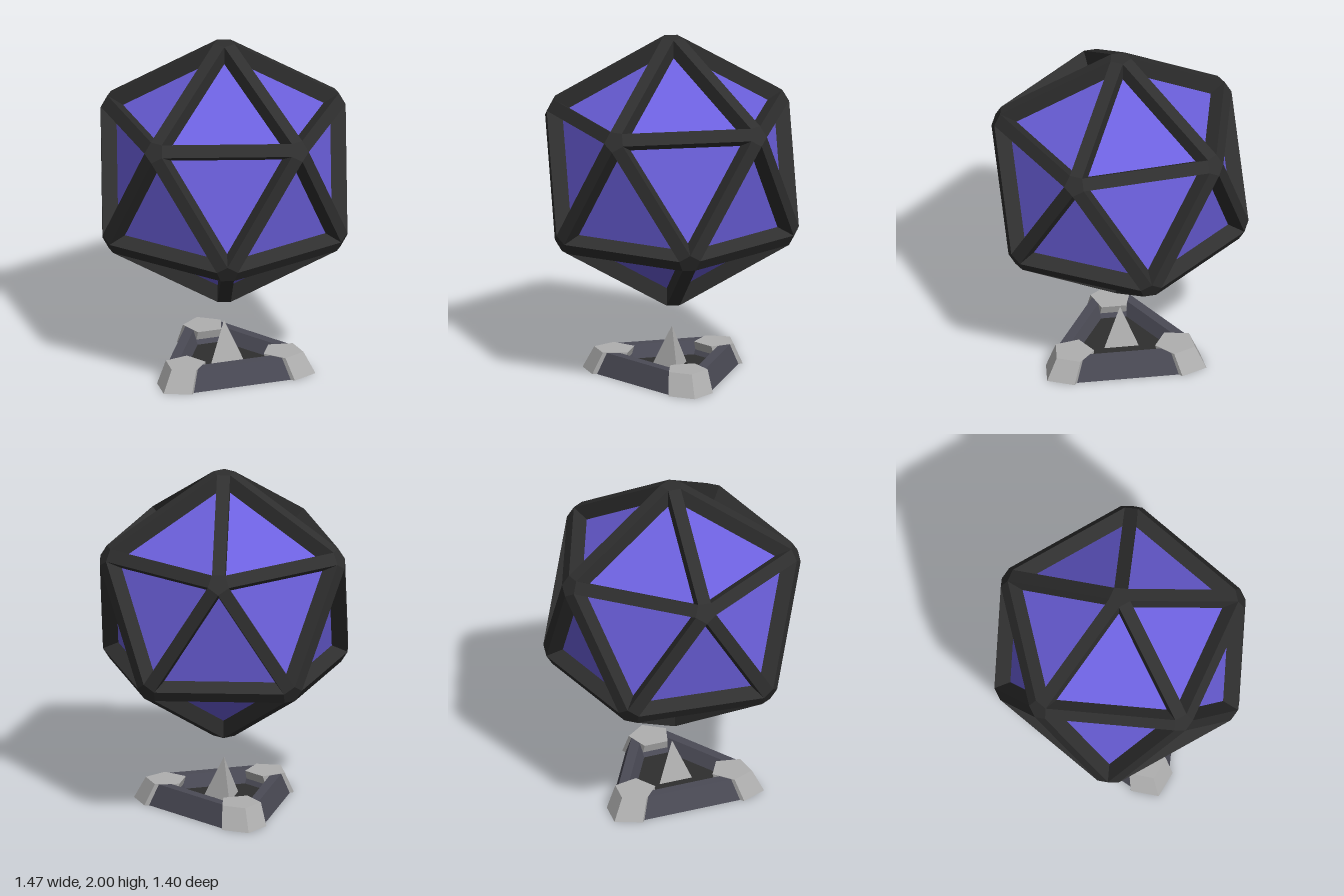
import * as THREE from 'three';
import { ConvexGeometry } from 'three/addons/geometries/ConvexGeometry.js';

const mat = (name, color) => {
  const m = new THREE.MeshStandardMaterial({ color });
  m.name = name;
  return m;
};

// Split all faces so that every edge is hard
function faceted(geometry) {
  const g = geometry.index ? geometry.toNonIndexed() : geometry;
  g.computeVertexNormals();
  return g;
}

// Join rings of equal length with quads, listed from the outside bottom upward
function loft(rings) {
  const pos = [];
  const n = rings[0].length;
  for (let r = 0; r + 1 < rings.length; r++) {
    for (let i = 0; i < n; i++) {
      const a = rings[r][i], b = rings[r][(i + 1) % n];
      const c = rings[r + 1][(i + 1) % n], d = rings[r + 1][i];
      for (const p of [a, b, c, a, c, d]) pos.push(p.x, p.y, p.z);
    }
  }
  const g = new THREE.BufferGeometry();
  g.setAttribute('position', new THREE.Float32BufferAttribute(pos, 3));
  g.computeVertexNormals();
  return g;
}

export function createModel() {
  const model = new THREE.Group();
  const charcoal = mat('charcoal frame', 0x2f2f2f);
  const violet = mat('violet panel', 0x6c60dd);
  const slate = mat('slate base', 0x4b4b56);
  const grey = mat('light grey', 0xb0b0b0);

  const add = (parent, name, geometry, material) => {
    const mesh = new THREE.Mesh(geometry, material);
    mesh.name = name;
    parent.add(mesh);
    return mesh;
  };

  // ---- Floating twenty-sided body ----
  const body = new THREE.Group();
  body.name = 'floatingBody';
  body.position.y = 1.21;
  model.add(body);

  // Unit directions of the twelve corners
  const corners = [new THREE.Vector3(0, 1, 0), new THREE.Vector3(0, -1, 0)];
  const ringY = 1 / Math.sqrt(5);
  for (let i = 0; i < 5; i++) {
    for (const s of [1, -1]) {
      const a = i * Math.PI * 0.4 + (s < 0 ? Math.PI : 0);
      corners.push(new THREE.Vector3(2 * ringY * Math.cos(a), s * ringY, 2 * ringY * Math.sin(a)));
    }
  }
  const neighbours = (p, q) => p !== q && p.dot(q) > 0.4;

  add(body, 'panels', faceted(new ConvexGeometry(corners.map(c => c.clone().multiplyScalar(0.733)))), violet);

  const reach = 0.789, width = 0.075, depth = 0.13;
  const inset = width / 2 / Math.tan(Math.PI / 5);

  // Five-sided plugs at the corners, one flat turned to each beam
  const plug = new THREE.CylinderGeometry(width / 2 / Math.sin(Math.PI / 5),
    width / 2 / Math.sin(Math.PI / 5), depth, 5, 1, false, Math.PI / 5);
  plug.translate(0, reach - depth / 2, 0);
  const plugGeometry = faceted(plug);
  for (const c of corners) {
    const z = corners.find(o => neighbours(c, o)).clone();
    z.addScaledVector(c, -z.dot(c)).normalize();
    const x = new THREE.Vector3().crossVectors(c, z);
    const mesh = add(body, 'frameCorner', plugGeometry, charcoal);
    mesh.quaternion.setFromRotationMatrix(new THREE.Matrix4().makeBasis(x, c, z));
  }

  // Beams along the thirty edges
  const half = Math.acos(ringY) / 2;
  const out = reach * Math.cos(half) + inset * Math.sin(half);
  const length = 2 * (reach * Math.sin(half) - inset * Math.cos(half));
  const beam = new THREE.BoxGeometry(width, depth, length);
  beam.translate(0, out - depth / 2, 0);
  corners.forEach((p, i) => corners.slice(i + 1).forEach(q => {
    if (!neighbours(p, q)) return;
    const y = p.clone().add(q).normalize();
    const z = q.clone().sub(p).normalize();
    const x = new THREE.Vector3().crossVectors(y, z);
    const mesh = add(body, 'frameBeam', beam, charcoal);
    mesh.quaternion.setFromRotationMatrix(new THREE.Matrix4().makeBasis(x, y, z));
  }));

  // ---- Three-cornered base ----
  const base = new THREE.Group();
  base.name = 'base';
  model.add(base);

  // Triangle with cut corners, sides at the given distance from the middle
  const ring = (side, y) => {
    const pts = [];
    const radius = side * 1.38;
    for (let k = 0; k < 3; k++) {
      for (const s of [-1, 1]) {
        const a = Math.PI + k * Math.PI * 2 / 3 + s * 0.289;
        pts.push(new THREE.Vector3(radius * Math.sin(a), y, radius * Math.cos(a)));
      }
    }
    return pts;
  };
  add(base, 'tray', loft([ring(0, 0), ring(0.31, 0), ring(0.27, 0.125),
    ring(0.215, 0.125), ring(0.185, 0.05)]), slate);
  add(base, 'trayFloor', loft([ring(0.19, 0.05), ring(0, 0.05)]), charcoal);

  // Five-sided corner blocks leaning inward
  const block = new THREE.CylinderGeometry(0.12, 0.1375, 0.127, 5);
  block.translate(0, 0.0635, 0.3925);
  const bp = block.attributes.position;
  for (let i = 0; i < bp.count; i++) {
    if (bp.getY(i) > 0.06) bp.setZ(i, bp.getZ(i) - 0.052);
  }
  const blockGeometry = faceted(block);
  for (let k = 0; k < 3; k++) {
    add(base, 'baseCorner', blockGeometry, [grey, grey, slate])
      .rotation.y = Math.PI + k * Math.PI * 2 / 3;
  }

  // Central spike
  const spike = add(base, 'spike', faceted(new THREE.ConeGeometry(0.116, 0.24, 3)), grey);
  spike.position.y = 0.168;
  spike.rotation.y = Math.PI;

  return model;
}
